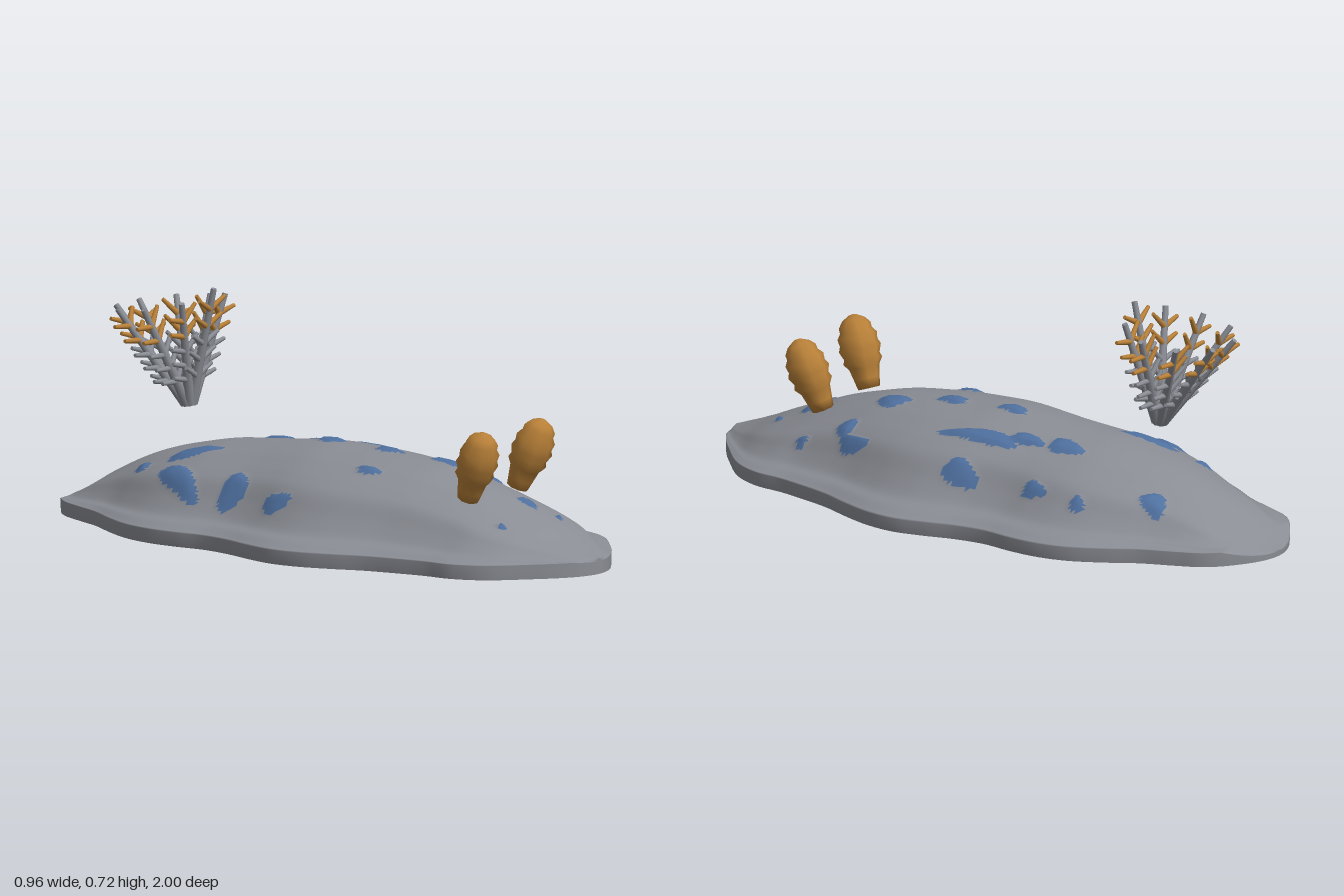
import * as THREE from 'three';

const flat = (name, color) => {
  const m = new THREE.MeshStandardMaterial({ color });
  m.name = name;
  return m;
};

// Smooth interpolation through evenly spaced samples, f in 0..1
function sample(list, f) {
  const p = THREE.MathUtils.clamp(f, 0, 1) * (list.length - 1);
  const i = Math.min(Math.floor(p), list.length - 2);
  const t = p - i;
  const a = list[Math.max(i - 1, 0)], b = list[i], c = list[i + 1];
  const d = list[Math.min(i + 2, list.length - 1)];
  return b + 0.5 * t * (c - a + t * (2 * a - 5 * b + 4 * c - d + t * (3 * (b - c) + d - a)));
}

// From tail (z = -1) to head (z = 1): width factor and ridge height
const WIDTH = [.42, .46, .43, .42, .45, .473, .471, .452, .429, .434, .46, .482, .48, .46, .436, .433, .444, .483, .49, .436, .4];
const HEIGHT = [.02, .065, .13, .18, .215, .24, .26, .27, .28, .29, .295, .29, .285, .277, .265, .24, .21, .17, .13, .085, .05];
// Cross-section from ridge to skirt edge
const DOME = [1, .985, .95, .9, .82, .73, .6, .35, .15, .09, 0];

// Spots: x, z, half width, half length, slant
const SPOTS = [
  [-.255, -.41, .035, .1, -.45], [-.13, -.45, .03, .085, .25], [-.17, -.61, .02, .025, 0],
  [-.27, -.19, .045, .045, 0], [-.31, 0, .022, .05, 0], [-.15, .235, .02, .042, 0],
  [.025, .18, .026, .05, 0], [.015, -.035, .026, .05, 0], [.075, .37, .037, .055, 0],
  [.12, -.3, .035, .062, 0], [.14, -.17, .025, .06, .1], [.18, -.03, .027, .135, .1],
  [.28, -.29, .018, .04, 0], [.28, -.45, .018, .022, 0], [.295, -.03, .027, .06, 0],
  [.25, .4, .02, .055, -.15], [.2, .455, .035, .03, 0], [.065, .68, .025, .032, 0],
  [.23, .6, .015, .02, 0], [.1, .775, .01, .012, 0], [-.14, .735, .012, .012, 0],
  [.17, -.66, .035, .04, 0],
];

// 0 outside all spots, rising to 1 at a spot's middle
function spotAt(x, z) {
  let best = 0;
  for (const [sx, sz, rx, rz, slant] of SPOTS) {
    const dz = z - sz, dx = x - sx - slant * dz;
    const wobble = 1 + 0.12 * Math.sin(3 * Math.atan2(dx / rx, dz / rz) + 40 * sx);
    best = Math.max(best, 1 - Math.hypot(dx / rx, dz / rz) / wobble);
  }
  return best;
}

const halfWidth = (theta) => Math.sin(theta) * sample(WIDTH, (Math.cos(theta) + 1) / 2);

// Domed back with a flared skirt; triangles inside spots get the second material
function backGeometry() {
  const rows = 200, cols = 112, stride = cols + 1;
  const pos = [], plain = [], spotted = [];
  for (let i = 0; i <= rows; i++) {
    const theta = Math.PI * i / rows, z = Math.cos(theta);
    const w = halfWidth(theta), h = sample(HEIGHT, (z + 1) / 2), rim = Math.min(0.045, h * 0.8);
    for (let j = 0; j <= cols; j++) {
      if (j === 0 || j === cols) {
        pos.push((j ? 1 : -1) * w * 0.98, 0, z);
        continue;
      }
      const t = -1 + 2 * (j - 1) / (cols - 2), x = w * t;
      const bump = 0.01 * Math.min(1, 2.5 * spotAt(x, z));
      pos.push(x, rim + (h - rim) * sample(DOME, Math.abs(t)) + bump, z);
    }
  }
  const add = (...tri) => {
    const cx = tri.reduce((s, k) => s + pos[3 * k], 0) / 3;
    const cz = tri.reduce((s, k) => s + pos[3 * k + 2], 0) / 3;
    (spotAt(cx, cz) > 0 ? spotted : plain).push(...tri);
  };
  for (let i = 0; i < rows; i++) {
    for (let j = 0; j < cols; j++) {
      const a = i * stride + j, c = a + stride;
      add(a, a + 1, c);
      add(a + 1, c + 1, c);
    }
  }
  const g = new THREE.BufferGeometry();
  g.setAttribute('position', new THREE.Float32BufferAttribute(pos, 3));
  g.setIndex([...plain, ...spotted]);
  g.addGroup(0, plain.length, 0);
  g.addGroup(plain.length, spotted.length, 1);
  g.computeVertexNormals();
  return g;
}

// Flat sole following the skirt outline
function soleGeometry() {
  const pts = [];
  for (let i = 0; i < 160; i++) {
    const a = 2 * Math.PI * i / 160;
    const theta = a <= Math.PI ? a : 2 * Math.PI - a;
    pts.push(new THREE.Vector2((a <= Math.PI ? 1 : -1) * halfWidth(theta) * 0.98, Math.cos(theta)));
  }
  return new THREE.ShapeGeometry(new THREE.Shape(pts)).rotateX(Math.PI / 2);
}

const UP = new THREE.Vector3(0, 1, 0);

// Tapered rod between two points
function rod(name, from, to, r0, r1, material) {
  const dir = to.clone().sub(from);
  const mesh = new THREE.Mesh(new THREE.CylinderGeometry(r1, r0, dir.length(), 8), material);
  mesh.name = name;
  mesh.position.copy(from).addScaledVector(dir, 0.5);
  mesh.quaternion.setFromUnitVectors(UP, dir.normalize());
  return mesh;
}

export function createModel() {
  const grey = flat('skin grey', 0x8a8d94);
  const blue = flat('spot blue', 0x4f709f);
  const orange = flat('tip orange', 0xb88038);
  const model = new THREE.Group();
  model.name = 'seaSlug';

  const back = new THREE.Mesh(backGeometry(), [grey, blue]);
  back.name = 'spottedBack';
  const sole = new THREE.Mesh(soleGeometry(), grey);
  sole.name = 'sole';
  model.add(back, sole);

  // Club-shaped head feelers with ringed ridges, leaning forward and outward
  const club = [[0, 0], [.034, 0], [.04, .03], [.047, .065], [.061, .085], [.056, .1], [.066, .125],
    [.059, .142], [.062, .163], [.05, .18], [.05, .196], [.035, .215], [.012, .228], [0, .23]];
  const clubGeometry = new THREE.LatheGeometry(club.map(([r, y]) => new THREE.Vector2(r, y)), 8);
  for (const side of [-1, 1]) {
    const feeler = new THREE.Mesh(clubGeometry, orange);
    feeler.name = side > 0 ? 'leftFeeler' : 'rightFeeler';
    feeler.position.set(side * 0.123, 0.205, 0.595);
    feeler.quaternion.setFromUnitVectors(UP, new THREE.Vector3(side * 0.025, 0.213, 0.08).normalize());
    model.add(feeler);
  }

  // Feathery gill plume: nine spreading stalks, each with paired side twigs
  const plume = new THREE.Group();
  plume.name = 'gillPlume';
  const base = new THREE.Vector3(0, 0.35, -0.565);
  const tipHeights = [.715, .68, .658, .645, .637];
  for (let k = -4; k <= 4; k++) {
    const a = k * Math.PI * 2 / 9;
    const out = new THREE.Vector3(Math.sin(a), 0, Math.cos(a));
    const root = base.clone().addScaledVector(out, 0.01);
    const tip = new THREE.Vector3(0.17 * out.x, tipHeights[Math.abs(k)], -0.64 + 0.17 * out.z);
    plume.add(rod('gillStalk', root, tip, 0.017, 0.009, grey));
    const dir = tip.clone().sub(root).normalize();
    const across = new THREE.Vector3(1, 0, 0).addScaledVector(dir, -dir.x).normalize();
    for (const t of [.24, .38, .52, .67, .82]) {
      const start = root.clone().lerp(tip, t);
      for (const side of [-1, 1]) {
        const end = start.clone().addScaledVector(across, side * 0.064).addScaledVector(dir, 0.035);
        plume.add(rod('gillTwig', start, end, 0.01, 0.006, t > 0.6 ? orange : grey));
      }
    }
  }
  model.add(plume);
  return model;
}
